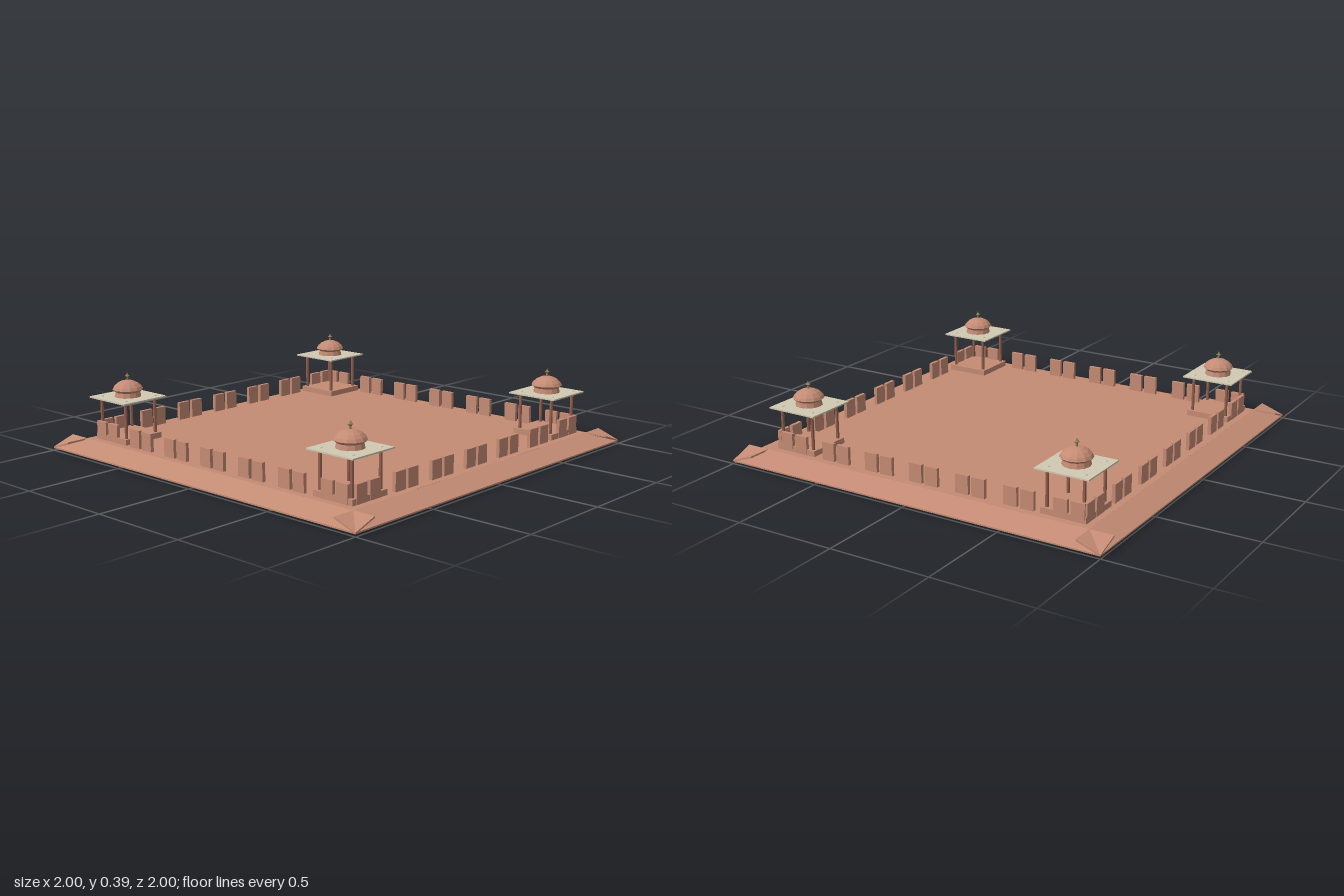
import * as THREE from 'three';

const mat = (color) => new THREE.MeshStandardMaterial({ color, flatShading: true });

export function createModel() {
  const model = new THREE.Group();
  const sandstone = mat(0xc48b74);
  const pale = mat(0xd0c9b2);
  const pillarStone = mat(0x94614f);
  const brass = mat(0x8f8050);

  const add = (parent, name, geometry, material, x = 0, y = 0, z = 0) => {
    const mesh = new THREE.Mesh(geometry, material);
    mesh.name = name;
    mesh.position.set(x, y, z);
    parent.add(mesh);
    return mesh;
  };

  // Terrace slab
  add(model, 'terrace', new THREE.BoxGeometry(1.765, 0.06, 1.765), sandstone, 0, 0.03, 0);

  // Thin sloping eaves, full length on each side so they cross at the corners
  const eaveShape = new THREE.Shape([
    [0.882, 0.052], [1, 0.011], [1, 0.018], [0.882, 0.06],
  ].map(([x, y]) => new THREE.Vector2(x, y)));
  const eaveGeo = new THREE.ExtrudeGeometry(eaveShape, { depth: 2, bevelEnabled: false });
  eaveGeo.translate(0, 0, -1);
  for (let i = 0; i < 4; i++) {
    add(model, 'eave', eaveGeo, sandstone).rotation.y = i * Math.PI / 2;
  }

  // Parapet: paired merlons along all four edges
  const merlonX = new THREE.BoxGeometry(0.068, 0.09, 0.018);
  const merlonZ = new THREE.BoxGeometry(0.018, 0.09, 0.068);
  const parapet = new THREE.Group();
  parapet.name = 'parapet';
  model.add(parapet);
  for (let k = 0; k < 7; k++) {
    for (const offset of [0, 0.086]) {
      const t = -0.807 + k * 0.2515 + offset;
      for (const s of [-0.84, 0.84]) {
        add(parapet, 'merlon', merlonX, sandstone, t, 0.105, s);
        add(parapet, 'merlon', merlonZ, sandstone, s, 0.105, t);
      }
    }
  }

  // Corner pavilions
  const v = (pts) => pts.map(([r, y]) => new THREE.Vector2(r, y));
  const plinthGeo = new THREE.BoxGeometry(0.225, 0.028, 0.225);
  const pillarGeo = new THREE.CylinderGeometry(0.008, 0.008, 0.182, 8);
  const capGeo = new THREE.CylinderGeometry(0.009, 0.012, 0.004, 8);
  const roofGeo = new THREE.BoxGeometry(0.266, 0.007, 0.266);
  const drumGeo = new THREE.CylinderGeometry(0.06, 0.066, 0.026, 12);
  const domeGeo = new THREE.LatheGeometry(v([
    [0, 0.295], [0.06, 0.295], [0.076, 0.308], [0.068, 0.322],
    [0.052, 0.337], [0.03, 0.348], [0, 0.354],
  ]), 12);
  const finialGeo = new THREE.LatheGeometry(v([
    [0.006, 0.348], [0.005, 0.366], [0.012, 0.373], [0.005, 0.38], [0, 0.391],
  ]), 8);

  for (const sx of [-1, 1]) {
    for (const sz of [-1, 1]) {
      const pavilion = new THREE.Group();
      pavilion.name = 'pavilion';
      pavilion.position.set(sx * 0.735, 0, sz * 0.735);
      model.add(pavilion);
      add(pavilion, 'plinth', plinthGeo, sandstone, 0, 0.074, 0);
      for (const px of [-0.091, 0.091]) {
        for (const pz of [-0.091, 0.091]) {
          add(pavilion, 'pillar', pillarGeo, pillarStone, px, 0.177, pz);
          add(pavilion, 'pillarCap', capGeo, pale, px, 0.274, pz);
        }
      }
      add(pavilion, 'roofSlab', roofGeo, pale, 0, 0.2685, 0);
      add(pavilion, 'drum', drumGeo, sandstone, 0, 0.284, 0);
      add(pavilion, 'dome', domeGeo, sandstone);
      add(pavilion, 'finial', finialGeo, brass);
    }
  }
  return model;
}
